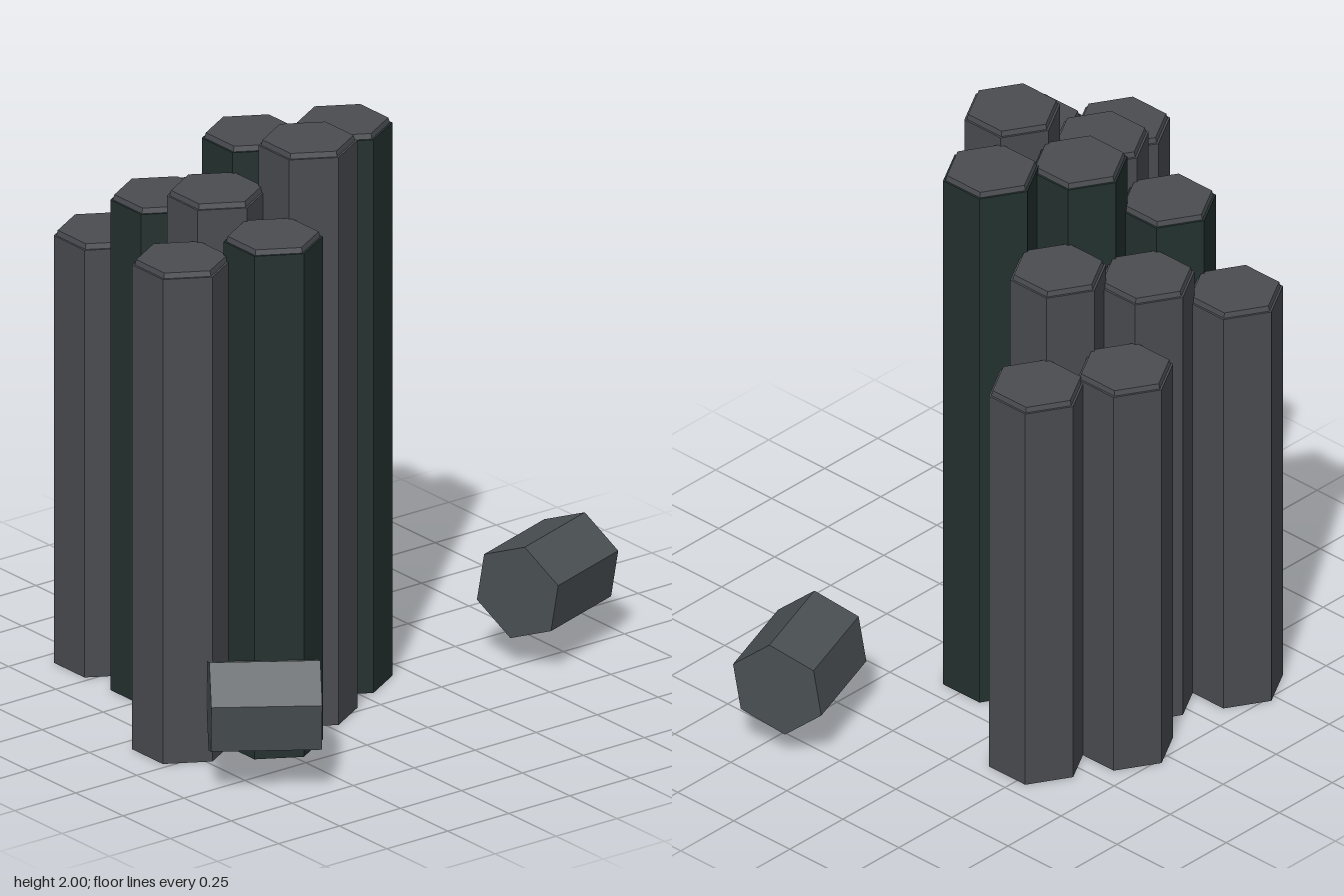
import * as THREE from 'three';

export function createModel() {
  const model = new THREE.Group();
  const material = (name, color) => {
    const m = new THREE.MeshStandardMaterial({ color, flatShading: true });
    m.name = name;
    return m;
  };
  const grey = material('basalt grey', 0x4a4c50);
  const dark = material('dark green basalt', 0x243230);
  const capGrey = material('cap grey', 0x4a4c51);
  const rubble = material('fallen stone grey', 0x4a5053);

  const R = 0.162, STEP_X = 0.2588, STEP_Z = 0.1497, CAP = 0.018;

  // Hexagonal lattice: [column step, row step, total height, is dark]
  const columns = [
    [-1, -4, 1.51], [1, -4, 1.45],
    [0, -3, 1.62], [2, -3, 1.44],
    [-1, -2, 1.73, true], [1, -2, 1.70],
    [0, -1, 1.93, true],
    [-1, 0, 1.84], [1, 0, 1.95, true],
    [-2, 1, 1.71], [0, 1, 2.0],
    [-1, 2, 1.775, true],
  ];
  for (const [i, j, height, isDark] of columns) {
    const group = new THREE.Group();
    group.name = 'basaltColumn';
    group.position.set(-0.215 + i * STEP_X, 0, -0.006 + j * STEP_Z);

    const shaftHeight = height - CAP;
    const shaft = new THREE.Mesh(
      new THREE.CylinderGeometry(R, R, shaftHeight, 6), isDark ? dark : grey);
    shaft.name = 'shaft';
    shaft.position.y = shaftHeight / 2;

    // Slightly inset weathered top
    const cap = new THREE.Mesh(
      new THREE.CylinderGeometry(R * 0.92, R * 0.95, CAP, 6), capGrey);
    cap.name = 'cap';
    cap.position.y = height - CAP / 2;

    group.add(shaft, cap);
    model.add(group);
  }

  // Fallen column pieces lying on their sides: [x, z, heading]
  const blockGeometry = new THREE.CylinderGeometry(0.167, 0.167, 0.36, 6);
  blockGeometry.rotateZ(-Math.PI / 2);
  blockGeometry.rotateX(-0.358);
  for (const [x, z, heading] of [[0.712, 0.215, 0.34], [-0.705, 0.545, -0.61]]) {
    const block = new THREE.Mesh(blockGeometry, rubble);
    block.name = 'fallenBlock';
    block.position.set(x, 0.265, z);
    block.rotation.y = heading;
    model.add(block);
  }
  return model;
}
